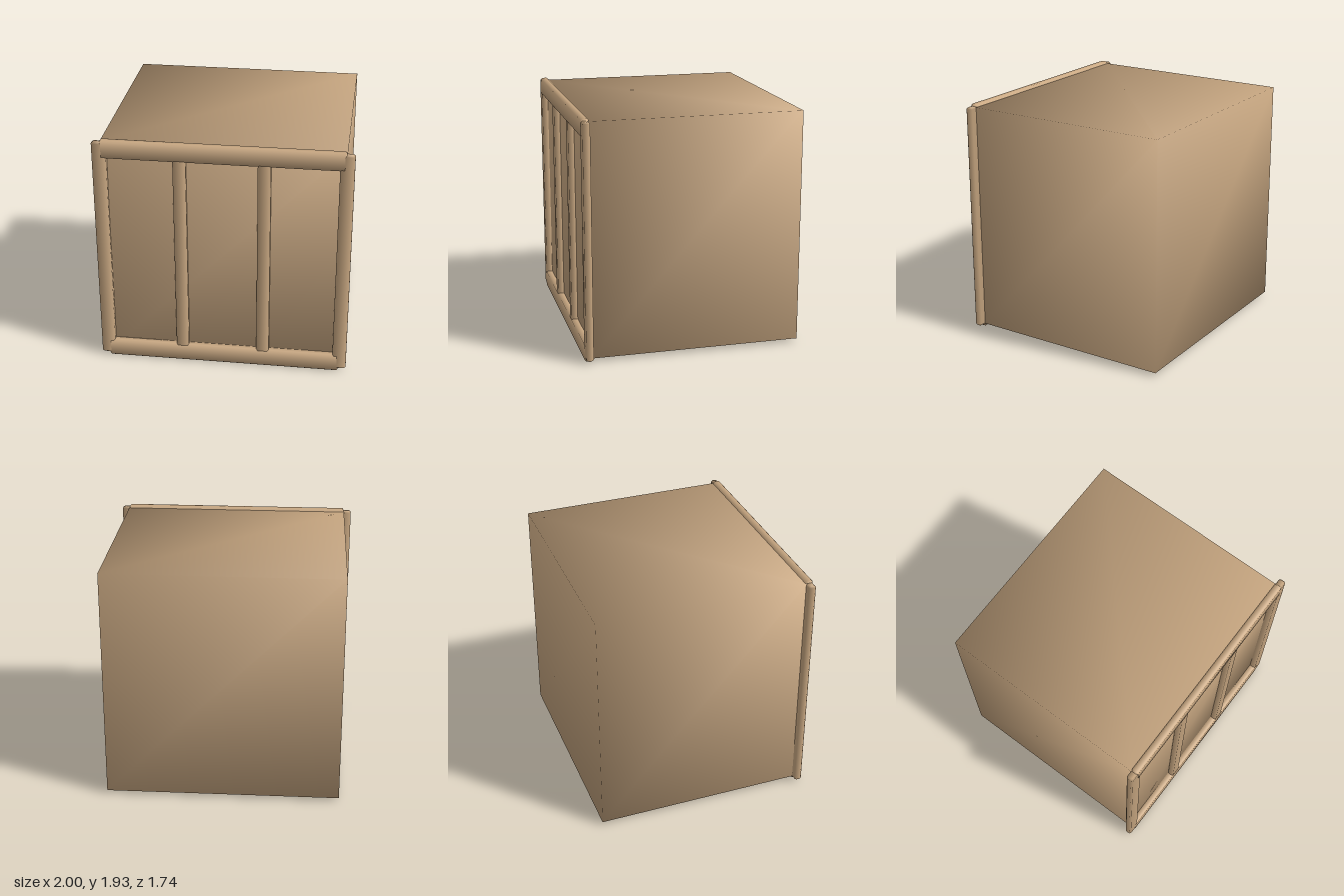
import * as THREE from 'three';
import { mergeVertices } from 'three/addons/utils/BufferGeometryUtils.js';

const wood = new THREE.MeshStandardMaterial({ color: 0xc9a882 });

function addMesh(group, name, geometry) {
  const mesh = new THREE.Mesh(geometry, wood);
  mesh.name = name;
  group.add(mesh);
  return mesh;
}

// Box with shared corners, so the shading runs softly across every face
function softBox(w, h, d) {
  const g = new THREE.BoxGeometry(w, h, d);
  g.deleteAttribute('uv');
  g.deleteAttribute('normal');
  const merged = mergeVertices(g);
  merged.computeVertexNormals();
  return merged;
}

// Upright batten: an 8-sided chamfered section with narrowed ends
function batten(width, length, depth) {
  const c = 0.012; // chamfer
  const hw = width / 2, hd = depth / 2, hl = length / 2;
  const section = [[hw - c, hd], [hw, hd - c], [hw, c - hd], [hw - c, -hd],
    [c - hw, -hd], [-hw, c - hd], [-hw, hd - c], [c - hw, hd]];
  const rings = [[-hl, c], [-hl + c, 0], [hl - c, 0], [hl, c]];
  const pos = [], index = [];
  for (const [y, inset] of rings)
    for (const [x, z] of section)
      pos.push(x * (1 - inset / hw), y, z * (1 - inset / hd));
  for (let r = 0; r < 3; r++)
    for (let i = 0; i < 8; i++) {
      const a = r * 8 + i, b = r * 8 + (i + 1) % 8;
      index.push(a, b + 8, b, a, a + 8, b + 8);
    }
  // end caps
  for (let i = 1; i < 7; i++) index.push(0, i, i + 1, 24, 24 + i + 1, 24 + i);
  const g = new THREE.BufferGeometry();
  g.setAttribute('position', new THREE.Float32BufferAttribute(pos, 3));
  g.setIndex(index);
  // rounded normals across the section
  const normals = [], v = new THREE.Vector3();
  for (let i = 0; i < pos.length; i += 3) {
    const end = Math.abs(pos[i + 1]) > hl - c / 2 ? 0.8 * Math.sign(pos[i + 1]) : 0;
    v.set(pos[i] / hw, end, pos[i + 2] / hd).normalize();
    normals.push(v.x, v.y, v.z);
  }
  g.setAttribute('normal', new THREE.Float32BufferAttribute(normals, 3));
  // outward winding
  for (let i = 0; i < index.length; i += 3) {
    const [a, b, d] = [0, 1, 2].map(k => new THREE.Vector3().fromArray(pos, index[i + k] * 3));
    const n = b.clone().sub(a).cross(d.clone().sub(a));
    if (n.dot(a.add(b).add(d)) < 0) [index[i + 1], index[i + 2]] = [index[i + 2], index[i + 1]];
  }
  g.setIndex(index);
  return g;
}

export function createModel() {
  const model = new THREE.Group();
  model.name = 'crate';

  // Solid body
  const back = -0.87, front = 0.82;
  addMesh(model, 'body', softBox(1.88, 1.875, front - back))
    .position.set(0, 0.9675, (front + back) / 2);

  // Side posts of the front frame
  for (const [name, s] of [['leftPost', 1], ['rightPost', -1]])
    addMesh(model, name, batten(0.11, 1.885, 0.058)).position.set(s * 0.945, 0.9675, 0.84);

  // Top and bottom rails
  for (const [name, y] of [['topRail', 1.853], ['bottomRail', 0.076]]) {
    const rail = addMesh(model, name, batten(0.148, 1.875, 0.06));
    rail.rotation.z = Math.PI / 2;
    rail.position.set(0, y, 0.84);
  }

  // Inner slats dividing the front into three panels
  for (const [name, x] of [['leftSlat', 0.323], ['rightSlat', -0.328]])
    addMesh(model, name, batten(0.1, 1.82, 0.056)).position.set(x, 0.965, 0.84);

  return model;
}
